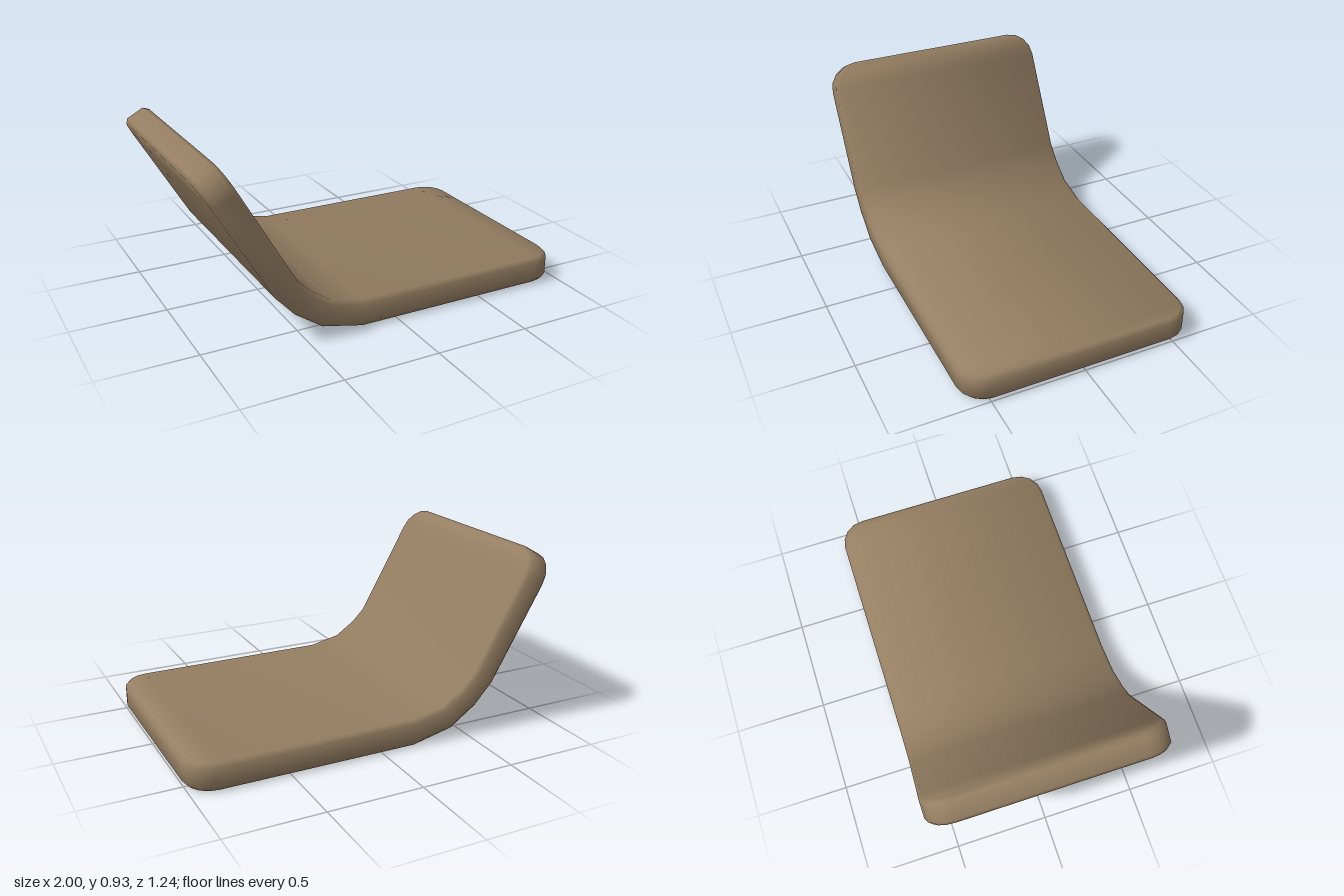
import * as THREE from 'three';

// Bend line of the slab: [distance, underside x, y, upper side x, y]
const BEND = [
  [0, 1, 0, 1, 0.143],
  [1.19, -0.19, 0, -0.19, 0.143],
  [1.38, -0.41, 0.05, -0.36, 0.18],
  [1.54, -0.555, 0.15, -0.47, 0.255],
  [1.66, -0.655, 0.26, -0.54, 0.325],
  [2.37, -1.01, 0.874, -0.89, 0.942],
];
const LENGTH = 2.37, HALF = 0.62, RADIUS = 0.14, CHAMFER = 0.02, STEPS = 4;

// Maps distance along the slab, height through it (0..1) and z to space
function bend(s, v, z) {
  let i = 0;
  while (i < BEND.length - 2 && s > BEND[i + 1][0]) i++;
  const a = BEND[i], b = BEND[i + 1];
  const t = (s - a[0]) / (b[0] - a[0]);
  const at = (k) => a[k] + (b[k] - a[k]) * t;
  return [at(1) + (at(3) - at(1)) * v, at(2) + (at(4) - at(2)) * v, z];
}

// Half outline of the rounded rectangle as [distance, half width]
function halfOutline(inset) {
  const r = RADIUS - inset, corner = [];
  for (let j = 0; j <= STEPS; j++) {
    const a = (j / STEPS) * Math.PI / 2;
    corner.push([RADIUS - r * Math.cos(a), HALF - RADIUS + r * Math.sin(a)]);
  }
  const middle = BEND.slice(1, -1).map((k) => [k[0], HALF - inset]);
  const far = corner.map(([s, w]) => [LENGTH - s, w]).reverse();
  return [...corner, ...middle, ...far];
}

// Smooth normals weighted by corner angle, so the chamfers shade softly
function angleNormals(geometry) {
  const pos = geometry.attributes.position, idx = geometry.index;
  const sums = Array.from({ length: pos.count }, () => new THREE.Vector3());
  const point = (i) => new THREE.Vector3().fromBufferAttribute(pos, i);
  for (let f = 0; f < idx.count; f += 3) {
    const ids = [0, 1, 2].map((k) => idx.getX(f + k));
    const p = ids.map(point);
    const n = new THREE.Triangle(...p).getNormal(new THREE.Vector3());
    ids.forEach((id, k) => {
      const u = p[(k + 1) % 3].clone().sub(p[k]);
      const w = p[(k + 2) % 3].clone().sub(p[k]);
      sums[id].addScaledVector(n, u.angleTo(w));
    });
  }
  const flat = sums.flatMap((n) => n.normalize().toArray());
  geometry.setAttribute('normal', new THREE.Float32BufferAttribute(flat, 3));
}

function bentSlab() {
  const positions = [], index = [];
  const quad = (a, b, c, d) => index.push(a, b, c, a, c, d);
  // Four outlines from underside to upper side, inset at the chamfers
  const levels = [[0, CHAMFER], [0.15, 0], [0.85, 0], [1, CHAMFER]];
  let n = 0;
  for (const [v, inset] of levels) {
    const half = halfOutline(inset);
    n = half.length;
    const loop = [...half, ...half.map(([s, w]) => [s, -w]).reverse()];
    for (const [s, z] of loop) positions.push(...bend(s, v, z));
  }
  // Rim and chamfers
  const N = 2 * n;
  for (let l = 0; l < 3; l++) {
    for (let i = 0; i < N; i++) {
      const a = l * N + i, b = l * N + (i + 1) % N;
      quad(b, a, a + N, b + N);
    }
  }
  // Broad upper side and underside
  for (let i = 0; i < n - 1; i++) {
    const j = N - 1 - i, top = 3 * N;
    quad(top + i, top + j, top + j - 1, top + i + 1);
    quad(i, i + 1, j - 1, j);
  }
  const geometry = new THREE.BufferGeometry();
  geometry.setAttribute('position', new THREE.Float32BufferAttribute(positions, 3));
  geometry.setIndex(index);
  angleNormals(geometry);
  return geometry;
}

export function createModel() {
  const group = new THREE.Group();
  group.name = 'bentSeat';
  const brown = new THREE.MeshStandardMaterial({ color: 0x967f63 });
  brown.name = 'brown';
  const cushion = new THREE.Mesh(bentSlab(), brown);
  cushion.name = 'seatAndBackrest';
  group.add(cushion);
  return group;
}
